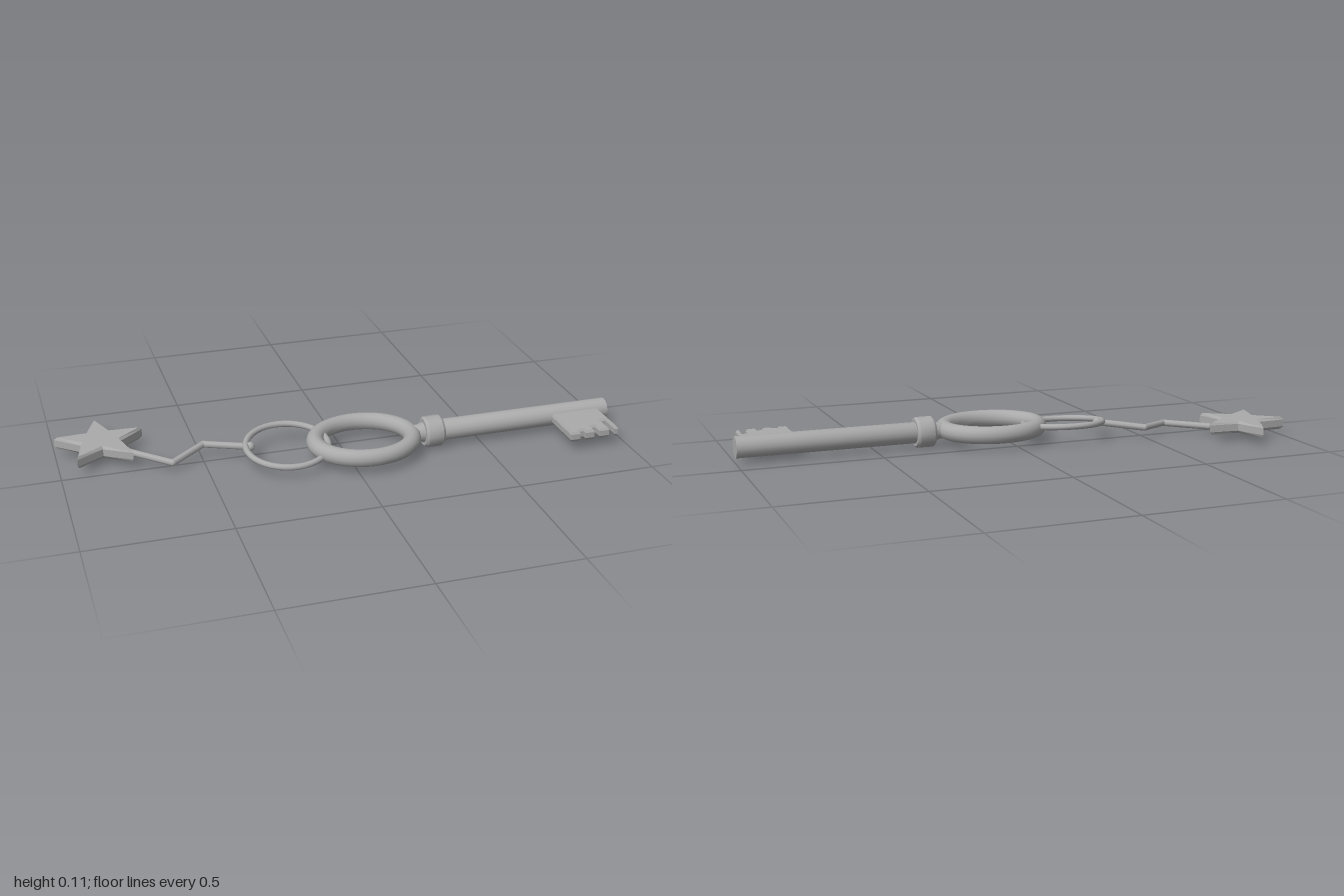
import * as THREE from 'three';
import { toCreasedNormals } from 'three/addons/utils/BufferGeometryUtils.js';

export function createModel() {
  const group = new THREE.Group();
  const metal = new THREE.MeshStandardMaterial({ color: 0xaaaaaa });
  metal.name = 'greyMetal';

  const add = (name, geometry, x = 0, y = 0, z = 0) => {
    const mesh = new THREE.Mesh(geometry, metal);
    mesh.name = name;
    mesh.position.set(x, y, z);
    group.add(mesh);
    return mesh;
  };

  // Turned part along x; profile is [radius, x] pairs
  const turned = (profile, sides) => toCreasedNormals(
    new THREE.LatheGeometry(profile.map(([r, x]) => new THREE.Vector2(r, x)), sides).rotateZ(-Math.PI / 2), 0.6);

  // Flat plate lying in the xz plane, bevelled on both faces, centred on y = 0
  const plate = (points, thickness, bevel, inset) => {
    const shape = new THREE.Shape(points.map(([x, z]) => new THREE.Vector2(x, z)));
    const depth = thickness - 2 * bevel;
    return new THREE.ExtrudeGeometry(shape, {
      depth, bevelEnabled: true, bevelThickness: bevel, bevelSize: inset, bevelOffset: -inset, bevelSegments: 1,
    }).translate(0, 0, -depth / 2).rotateX(Math.PI / 2);
  };

  // Key shaft with its narrowed neck, and the collar
  const axisY = 0.061, axisZ = 0.11;
  add('keyShaft', turned([[0, 0.23], [0.03, 0.23], [0.03, 0.262], [0.039, 0.29], [0.039, 1], [0, 1]], 16), 0, axisY, axisZ);
  add('keyCollar', turned([[0.03, 0.283], [0.05, 0.283], [0.057, 0.292], [0.057, 0.345], [0.05, 0.354], [0.03, 0.354]], 12),
    0, axisY, axisZ);

  // Oval key handle
  const bow = new THREE.TorusGeometry(0.176, 0.032, 14, 40).rotateX(Math.PI / 2).scale(1, 1, 0.855);
  add('keyBow', bow, 0.061, 0.062, 0.105);

  // Key bit with notched edge
  add('keyBit', plate([
    [0.775, 0.1], [0.96, 0.1], [0.96, 0.31], [0.947, 0.31], [0.947, 0.235], [0.924, 0.235], [0.924, 0.31],
    [0.887, 0.31], [0.887, 0.275], [0.867, 0.275], [0.867, 0.31], [0.832, 0.31], [0.832, 0.293],
    [0.812, 0.293], [0.812, 0.31], [0.775, 0.31],
  ], 0.038, 0.009, 0.005), 0, axisY, 0);

  // Split ring, slightly tilted through the handle
  const ring = add('linkRing', new THREE.TorusGeometry(0.147, 0.0115, 10, 40).rotateX(Math.PI / 2), -0.213, 0.062, 0.072);
  ring.rotation.x = 0.1;

  // Zigzag chain from ring to star
  const joints = [
    [-0.34, 0.06, 0.042], [-0.49, 0.046, -0.054], [-0.617, 0.036, 0.04], [-0.745, 0.036, -0.085],
  ].map((p) => new THREE.Vector3(...p));
  const up = new THREE.Vector3(0, 1, 0);
  joints.forEach((p, i) => {
    add('chainJoint', new THREE.SphereGeometry(i === 0 ? 0.017 : 0.0125, 10, 8), p.x, p.y, p.z);
    if (i === 0) return;
    const a = joints[i - 1], dir = p.clone().sub(a);
    const link = add('chainLink', new THREE.CylinderGeometry(0.0125, 0.0125, dir.length(), 8));
    link.position.copy(a).add(p).multiplyScalar(0.5);
    link.quaternion.setFromUnitVectors(up, dir.normalize());
  });

  // Star charm
  const star = [];
  for (let i = 0; i < 10; i++) {
    const r = i % 2 ? 0.075 : 0.165, t = -Math.PI / 2 + (i * Math.PI) / 5;
    star.push([r * Math.cos(t), r * Math.sin(t)]);
  }
  add('starCharm', plate(star, 0.046, 0.01, 0.008), -0.842, 0.053, -0.149);

  return group;
}
